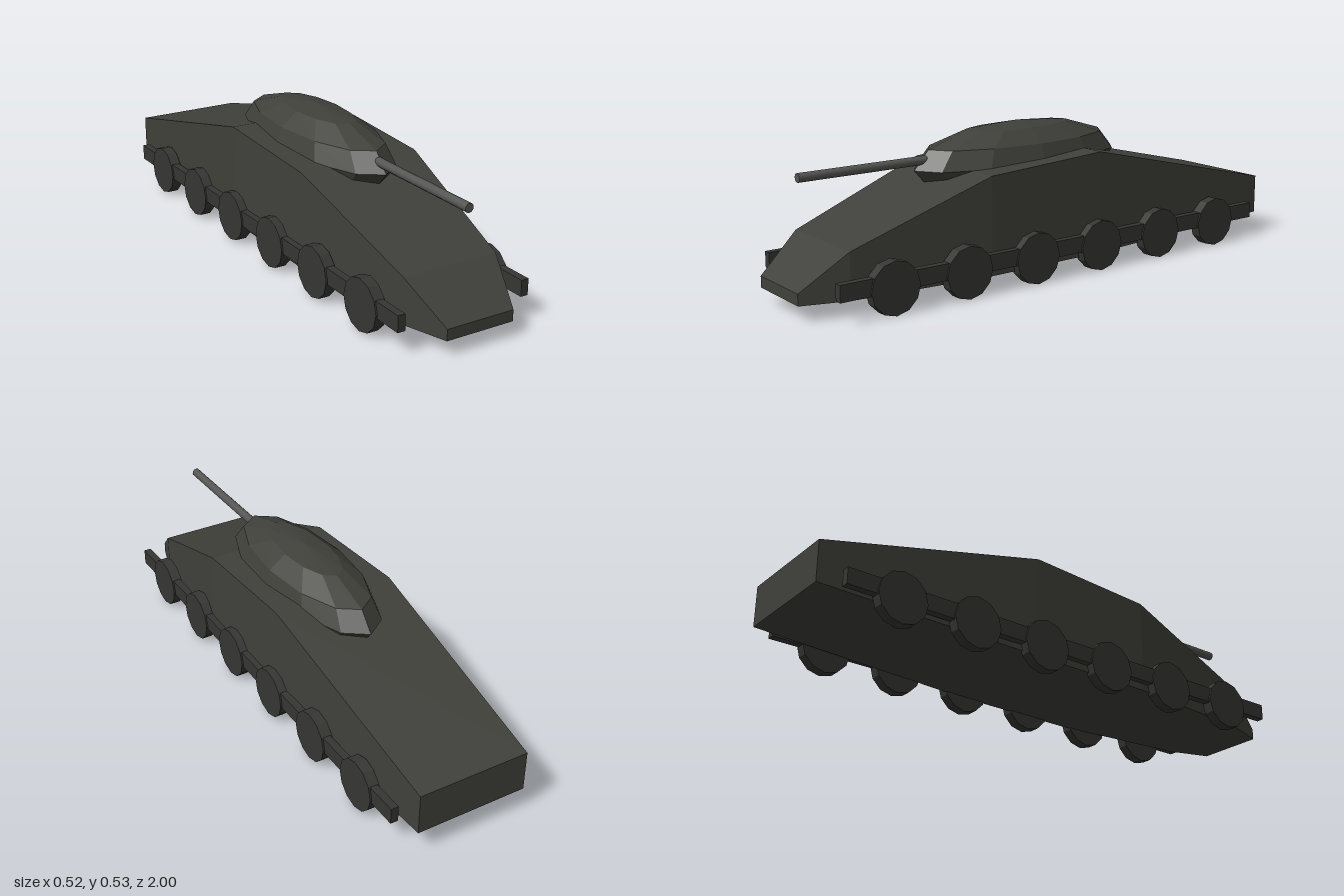
import * as THREE from 'three';

const paint = (color) => new THREE.MeshStandardMaterial({ color, flatShading: true });

// Hull skinned over rectangular sections: [z, half width, bottom, top], front to back
function hullGeometry(sections) {
  const rings = sections.map(([z, w, b, t]) => [[-w, b, z], [w, b, z], [w, t, z], [-w, t, z]]);
  const pos = [];
  const quad = (a, b, c, d) => [a, b, c, a, c, d].forEach((p) => pos.push(...p));
  for (let i = 0; i < rings.length - 1; i++) {
    const f = rings[i], r = rings[i + 1];
    for (let k = 0; k < 4; k++) {
      const n = (k + 1) % 4;
      quad(f[k], r[k], r[n], f[n]);
    }
  }
  quad(...rings[0]);
  quad(...[...rings[rings.length - 1]].reverse());
  const g = new THREE.BufferGeometry();
  g.setAttribute('position', new THREE.Float32BufferAttribute(pos, 3));
  g.computeVertexNormals();
  return g;
}

export function createModel() {
  const model = new THREE.Group();
  model.name = 'tank';
  const armour = paint(0x40403b);
  const running = paint(0x363634);
  const steel = new THREE.MeshStandardMaterial({ color: 0x555553 });

  const add = (parent, name, geometry, material, x = 0, y = 0, z = 0) => {
    const mesh = new THREE.Mesh(geometry, material);
    mesh.name = name;
    mesh.position.set(x, y, z);
    parent.add(mesh);
    return mesh;
  };

  add(model, 'hull', hullGeometry([
    [1, 0.128, 0.054, 0.094],
    [0.84, 0.18, 0.054, 0.215],
    [0.32, 0.23, 0.054, 0.4],
    [-0.16, 0.23, 0.056, 0.427],
    [-1, 0.205, 0.081, 0.228],
  ]), armour);

  // Turret: faceted, flattened dome
  const dome = new THREE.SphereGeometry(1, 12, 6).scale(0.165, 0.133, 0.44);
  add(model, 'turret', dome, armour, 0, 0.4, 0.04);

  // Gun
  const barrel = new THREE.CylinderGeometry(0.016, 0.016, 0.56, 12).rotateX(Math.PI / 2);
  add(model, 'gunBarrel', barrel, steel, 0, 0.433, 0.64);

  // Running gear on both sides
  const railGeometry = new THREE.BoxGeometry(0.028, 0.058, 1.84);
  const wheelGeometry = new THREE.CylinderGeometry(0.092, 0.092, 0.04, 12).rotateZ(Math.PI / 2);
  for (const side of [1, -1]) {
    const gear = new THREE.Group();
    gear.name = side > 0 ? 'leftRunningGear' : 'rightRunningGear';
    add(gear, 'rail', railGeometry, running, side * 0.24, 0.109, 0);
    for (let i = 0; i < 6; i++) {
      add(gear, 'roadWheel', wheelGeometry, running, side * 0.24, 0.092, 0.72 - i * 0.288);
    }
    model.add(gear);
  }
  return model;
}
